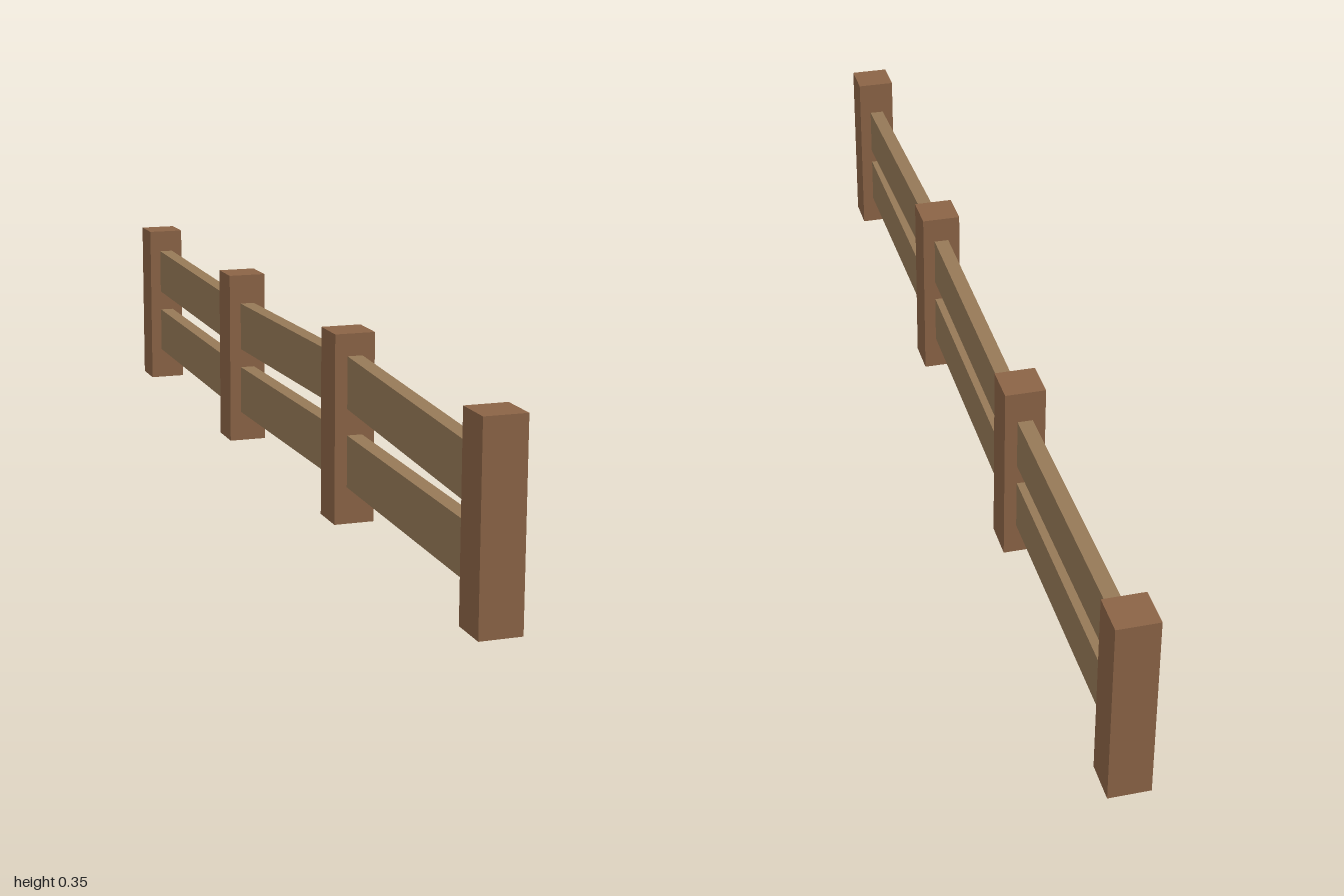
import * as THREE from 'three';

const POST_W = 0.074, POST_H = 0.346;
const RAIL_T = 0.028, RAIL_H = 0.095;
const postZ = [0.963, 0.321, -0.321, -0.963];

// Rail centre heights at the front and back end of each bay
const bays = [
  { upper: [0.230, 0.258], lower: [0.106, 0.115] },
  { upper: [0.249, 0.240], lower: [0.114, 0.107] },
  { upper: [0.239, 0.252], lower: [0.106, 0.114] },
];

export function createModel() {
  const group = new THREE.Group();
  group.name = 'fence';
  const postMat = new THREE.MeshStandardMaterial({ color: 0x8b6446 });
  const railMat = new THREE.MeshStandardMaterial({ color: 0x967957 });

  // Square posts
  const postGeo = new THREE.BoxGeometry(POST_W, POST_H, POST_W);
  postZ.forEach((z, i) => {
    const post = new THREE.Mesh(postGeo, postMat);
    post.name = `post${i + 1}`;
    post.position.set(0, POST_H / 2, z);
    group.add(post);
  });

  // Slightly tilted planks, their ends let into the posts
  const addRail = (name, zFront, zBack, [yFront, yBack]) => {
    const dz = zFront - zBack, dy = yFront - yBack;
    const length = Math.hypot(dz, dy) + 0.02;
    const rail = new THREE.Mesh(new THREE.BoxGeometry(RAIL_T, RAIL_H, length), railMat);
    rail.name = name;
    rail.position.set(0, (yFront + yBack) / 2, (zFront + zBack) / 2);
    rail.rotation.x = -Math.atan2(dy, dz);
    group.add(rail);
  };
  bays.forEach((bay, i) => {
    const zFront = postZ[i] - POST_W / 2, zBack = postZ[i + 1] + POST_W / 2;
    addRail(`upperRail${i + 1}`, zFront, zBack, bay.upper);
    addRail(`lowerRail${i + 1}`, zFront, zBack, bay.lower);
  });

  return group;
}
